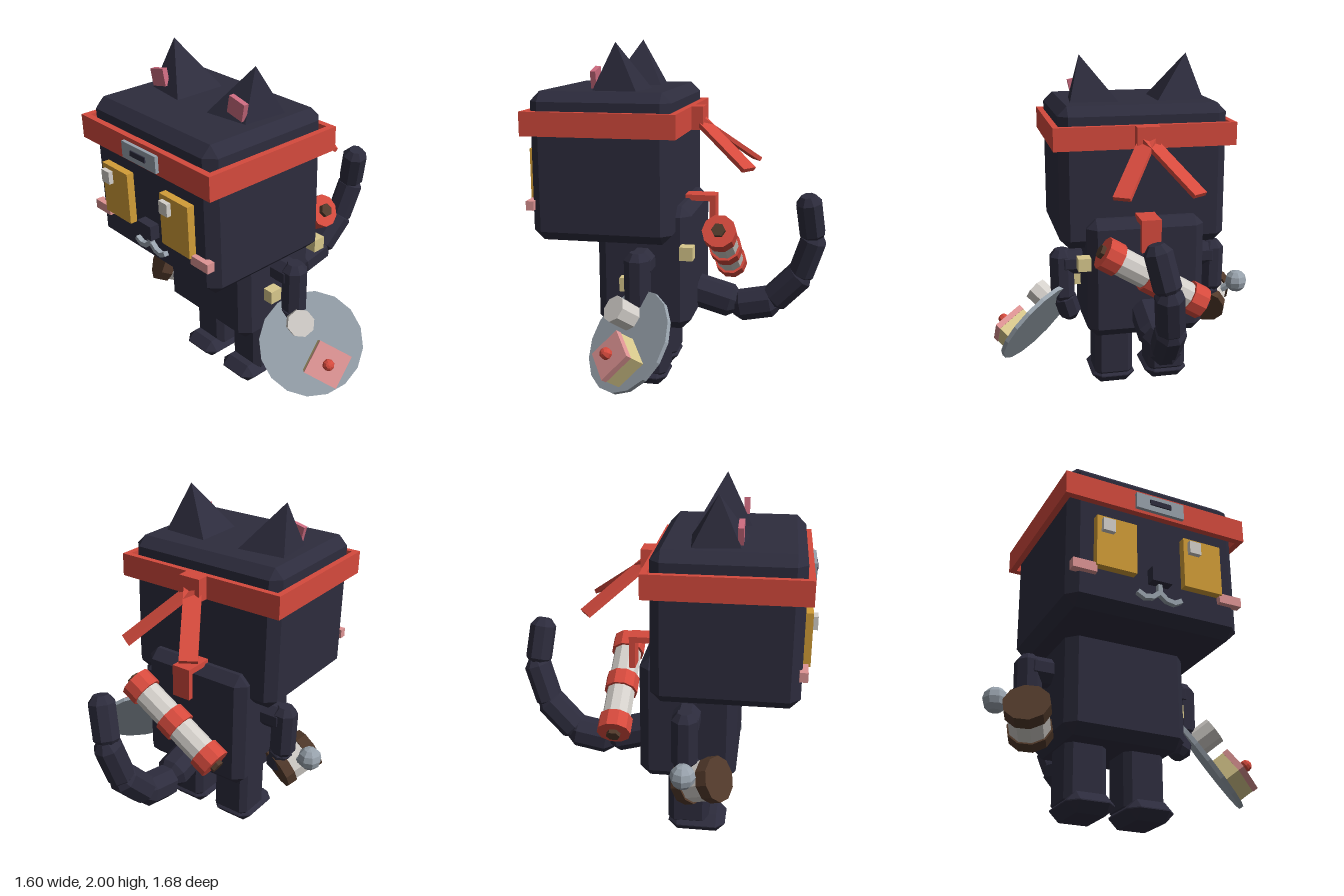
import * as THREE from 'three';
import { ConvexGeometry } from 'three/addons/geometries/ConvexGeometry.js';

const V = (x, y, z) => new THREE.Vector3(x, y, z);
const MID = -0.0875; // mirror plane of the figure
const UP = V(0, 1, 0);

const paint = (name, color) => {
  const m = new THREE.MeshStandardMaterial({ color, flatShading: true });
  m.name = name;
  return m;
};

export function createModel() {
  const fur = paint('dark fur', 0x2d2c3d);
  const red = paint('red cloth', 0xd54a3d);
  const gold = paint('gold eye', 0xd29d37);
  const steel = paint('steel', 0x98a2ac);
  const white = paint('off white', 0xd3cfca);
  const brown = paint('brown wood', 0x523a2b);
  const tan = paint('tan', 0xd8c88c);
  const pink = paint('light pink', 0xde9494);
  const rose = paint('rose', 0xcb6a7e);

  const root = new THREE.Group();
  const add = (name, geo, mat, pos, parent = root) => {
    const mesh = new THREE.Mesh(geo, mat);
    mesh.name = name;
    if (pos) mesh.position.copy(pos);
    parent.add(mesh);
    return mesh;
  };
  // box from its minimum and maximum corners
  const box = (name, mat, x0, x1, y0, y1, z0, z1, parent) =>
    add(name, new THREE.BoxGeometry(x1 - x0, y1 - y0, z1 - z0), mat,
      V((x0 + x1) / 2, (y0 + y1) / 2, (z0 + z1) / 2), parent);
  // box with all edges chamfered
  const chamferBox = (name, mat, x0, x1, y0, y1, z0, z1, c) => {
    const h = [(x1 - x0) / 2, (y1 - y0) / 2, (z1 - z0) / 2];
    const pts = [];
    for (const sx of [-1, 1]) for (const sy of [-1, 1]) for (const sz of [-1, 1])
      for (let k = 0; k < 3; k++) {
        const d = h.map((v, i) => (i === k ? v : v - c));
        pts.push(V(sx * d[0], sy * d[1], sz * d[2]));
      }
    return add(name, new ConvexGeometry(pts), mat,
      V((x0 + x1) / 2, (y0 + y1) / 2, (z0 + z1) / 2));
  };
  const aim = (mesh, a, b) => {
    mesh.position.copy(a).add(b).multiplyScalar(0.5);
    mesh.quaternion.setFromUnitVectors(UP, b.clone().sub(a).normalize());
    return mesh;
  };
  // plain cylinder between two points
  const rod = (name, mat, a, b, r, sides = 10) =>
    aim(add(name, new THREE.CylinderGeometry(r, r, a.distanceTo(b), sides), mat), a, b);
  // chamfered limb segment between two points
  const limb = (name, a, b, r) => {
    const h = a.distanceTo(b) / 2, c = r * 0.55;
    const profile = [[0, -h], [r * 0.55, -h], [r, -h + c], [r, h - c], [r * 0.55, h], [0, h]]
      .map(([x, y]) => new THREE.Vector2(x, y));
    return aim(add(name, new THREE.LatheGeometry(profile, 8, Math.PI / 8), fur), a, b);
  };

  // head, torso
  chamferBox('head', fur, -0.58, 0.405, 0.91, 1.74, -0.02, 0.77, 0.055);
  chamferBox('torso', fur, -0.435, 0.26, 0.38, 1.1, -0.1, 0.44, 0.055);

  // paired parts; s = -1 is the model's right, +1 its left
  for (const s of [-1, 1]) {
    const X = (d) => MID + s * d;
    const span = (d0, d1) => (s > 0 ? [X(d0), X(d1)] : [X(d1), X(d0)]);

    chamferBox('leg', fur, ...span(0.05, 0.285), 0.05, 0.45, 0.055, 0.29, 0.035);
    chamferBox('foot', fur, ...span(0.035, 0.3), 0, 0.11, 0.055, 0.385, 0.052);

    limb('shoulder', V(X(0.3), 0.79, 0.17), V(X(0.5), 0.79, 0.17), 0.08);
    limb('arm', V(X(0.47), 0.87, 0.17), V(X(0.465), 0.54, 0.17), 0.075);
    limb('hand', V(X(0.465), 0.6, 0.17), V(X(0.41), 0.42, 0.2), 0.07);

    add('ear', new ConvexGeometry([
      V(X(0.4), 1.73, 0.18), V(X(0.11), 1.73, 0.155), V(X(0.11), 1.73, 0.475),
      V(X(0.375), 1.73, 0.44), V(X(0.322), 2, 0.315)]), fur);
    add('innerEar', new THREE.BoxGeometry(0.112, 0.095, 0.03), rose,
      V(X(0.313), 1.81, 0.43)).rotation.z = -s * 0.22;

    box('eye', gold, ...span(0.138, 0.362), 1.12, 1.412, 0.76, 0.812);
    box('cheek', pink, ...span(0.353, 0.485), 1.082, 1.135, 0.755, 0.8);

    // whisker-like mouth made of short bars
    const mouth = [[0, 1.055], [0.04, 1.022], [0.085, 1.014], [0.122, 1.034]];
    for (let i = 0; i < 3; i++) {
      const [ax, ay] = mouth[i], [bx, by] = mouth[i + 1];
      const dx = s * (bx - ax), dy = by - ay;
      add('mouthBar', new THREE.BoxGeometry(Math.hypot(dx, dy) + 0.008, 0.025, 0.035), steel,
        V(X((ax + bx) / 2), (ay + by) / 2, 0.78)).rotation.z = Math.atan2(dy, dx);
    }

    // trailing headband ribbon
    const a = V(MID, 1.56, -0.09), b = V(X(0.215), 1.305, -0.41);
    const dir = b.clone().sub(a).normalize();
    const side = V(0, 1, 0).cross(dir).normalize();
    const ribbon = add('ribbon', new THREE.BoxGeometry(0.1, 0.025, a.distanceTo(b)), red,
      a.clone().add(b).multiplyScalar(0.5));
    ribbon.quaternion.setFromRotationMatrix(
      new THREE.Matrix4().makeBasis(side, dir.clone().cross(side), dir));
  }

  // both eye glints sit on the same side
  for (const x of [-0.425, 0.075]) box('eyeGlint', white, x, x + 0.067, 1.315, 1.387, 0.8, 0.838);
  box('nose', fur, -0.145, -0.03, 1.1, 1.182, 0.76, 0.825);
  box('mouthStem', steel, -0.1, -0.075, 1.045, 1.1, 0.762, 0.798);

  // headband, knot and forehead plate
  box('headbandFront', red, -0.62, 0.442, 1.502, 1.635, 0.77, 0.805);
  box('headbandBack', red, -0.62, 0.442, 1.502, 1.635, -0.058, -0.023);
  box('headbandRight', red, -0.62, -0.585, 1.502, 1.635, -0.023, 0.77);
  box('headbandLeft', red, 0.407, 0.442, 1.502, 1.635, -0.023, 0.77);
  box('knot', red, -0.155, -0.02, 1.502, 1.635, -0.125, -0.05);
  box('foreheadPlate', steel, -0.228, 0.053, 1.52, 1.612, 0.8, 0.825);
  box('plateSlot', fur, -0.15, -0.027, 1.553, 1.583, 0.824, 0.832);

  // tail
  const tail = [
    [V(-0.09, 0.54, -0.03), V(-0.09, 0.455, -0.34), 0.1],
    [V(-0.09, 0.435, -0.3), V(-0.09, 0.49, -0.58), 0.095],
    [V(-0.09, 0.47, -0.52), V(-0.07, 0.69, -0.73), 0.088],
    [V(-0.075, 0.63, -0.69), V(-0.04, 0.92, -0.785), 0.08],
    [V(-0.045, 0.88, -0.77), V(0.02, 1.15, -0.735), 0.077],
  ];
  for (const [a, b, r] of tail) limb('tailSegment', a, b, r);

  // strap holding the back scroll
  box('strapTop', red, -0.145, -0.03, 1.085, 1.12, -0.2, 0);
  box('strapDrop', red, -0.145, -0.03, 0.93, 1.12, -0.2, -0.165);

  // diagonal scroll
  const axis = V(Math.cos(0.54), Math.sin(0.54), 0);
  const along = (t) => V(-0.085, 0.795, -0.255).addScaledVector(axis, t);
  rod('scrollPaper', white, along(-0.3), along(0.3), 0.082);
  for (const t of [-0.285, 0, 0.285])
    rod('scrollBand', red, along(t - 0.05), along(t + 0.05), 0.097);
  rod('scrollCore', brown, along(-0.36), along(0.36), 0.04, 6);

  // small tan pouches on the left side
  box('rearPouch', tan, 0.247, 0.323, 0.817, 0.893, -0.128, -0.052);
  box('frontPouch', tan, 0.247, 0.323, 0.62, 0.698, 0.215, 0.291);

  // small barrel and ball in the right hand
  const A = V(-0.625, 0.52, 0.365), B = V(-0.525, 0.425, 0.165);
  const at = (t) => A.clone().lerp(B, t);
  rod('barrelFront', brown, at(0), at(0.28), 0.125);
  rod('barrelMiddle', white, at(0.28), at(0.75), 0.112);
  rod('barrelBack', brown, at(0.75), at(1), 0.122);
  add('ball', new THREE.SphereGeometry(0.07, 8, 6), steel, V(-0.73, 0.58, 0.18));
  rod('ballStem', steel, V(-0.73, 0.58, 0.18), at(0.6), 0.025, 6);

  // round tray in the left hand, local y pointing out of its face
  const n = V(0.63, 0.56, 0.54).normalize();
  const e1 = V(0.16, -0.083, -0.1);
  e1.addScaledVector(n, -e1.dot(n)).normalize();
  const tray = new THREE.Group();
  tray.name = 'tray';
  tray.position.set(0.535, 0.41, 0.185);
  tray.quaternion.setFromRotationMatrix(
    new THREE.Matrix4().makeBasis(e1, n, e1.clone().cross(n)));
  root.add(tray);
  const toTray = tray.quaternion.clone().invert();
  const local = (x, y, z, h) => {
    const p = V(x, y, z).sub(tray.position).applyQuaternion(toTray);
    p.y = h;
    return p;
  };
  add('trayDisc', new THREE.CylinderGeometry(0.295, 0.295, 0.025, 16), steel, null, tray);
  add('cup', new THREE.CylinderGeometry(0.077, 0.077, 0.14, 8), white,
    local(0.444, 0.51, 0.192, 0.075), tray);
  add('cake', new THREE.BoxGeometry(0.19, 0.11, 0.19), tan, local(0.633, 0.321, 0.169, 0.055), tray);
  add('icing', new THREE.BoxGeometry(0.195, 0.035, 0.195), pink,
    local(0.633, 0.321, 0.169, 0.125), tray);
  add('cherry', new THREE.SphereGeometry(0.034, 8, 6), red,
    local(0.633, 0.321, 0.169, 0.165), tray);

  return root;
}
